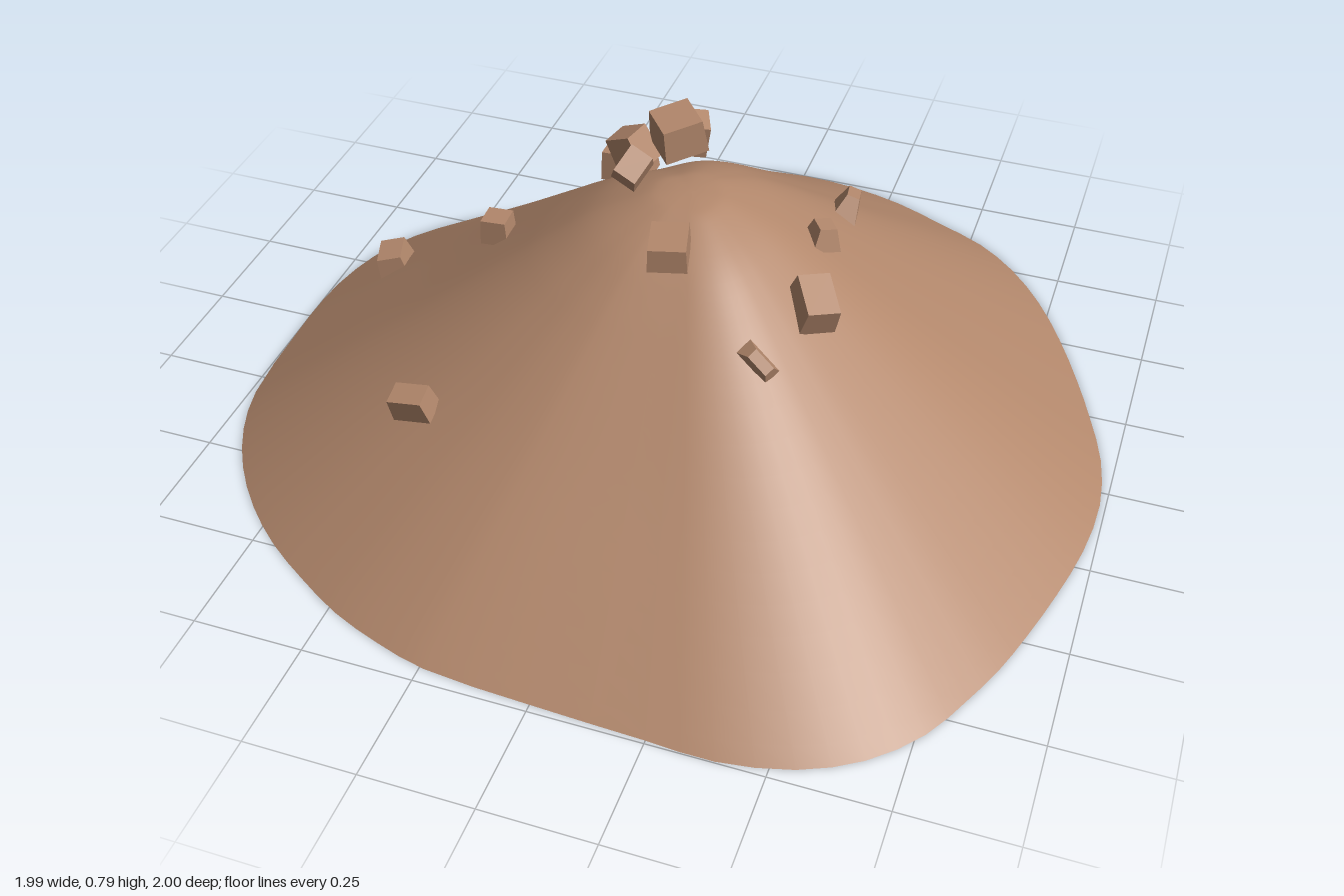
import * as THREE from 'three';

const clay = new THREE.MeshStandardMaterial({ color: 0xb3886c });
clay.name = 'brown earth';

// Footprint of the mound as x, z pairs, running from the back round by +x
const FOOTPRINT = [
  0, -1, 0.14, -0.99, 0.28, -0.955, 0.405, -0.9, 0.53, -0.84, 0.63, -0.757, 0.72, -0.645,
  0.795, -0.517, 0.864, -0.373, 0.917, -0.245, 0.965, -0.107, 0.987, 0.04, 0.976, 0.197,
  0.944, 0.347, 0.907, 0.48, 0.87, 0.592, 0.827, 0.688, 0.768, 0.8, 0.672, 0.9, 0.55, 0.965,
  0.395, 0.997, 0.25, 0.992, 0, 0.982, -0.24, 0.965, -0.357, 0.933, -0.48, 0.885,
  -0.592, 0.82, -0.7, 0.747, -0.8, 0.656, -0.885, 0.55, -0.95, 0.43, -0.987, 0.304,
  -1, 0.08, -1, -0.08, -0.98, -0.213, -0.933, -0.34, -0.853, -0.448, -0.747, -0.54,
  -0.64, -0.608, -0.533, -0.683, -0.437, -0.768, -0.352, -0.848, -0.245, -0.928, -0.123, -0.98,
];
// Slope from the summit to the rim: fraction of the way out, height
const PROFILE = [
  [0, 0.645], [0.05, 0.642], [0.1, 0.63], [0.2, 0.583], [0.3, 0.515], [0.4, 0.44],
  [0.6, 0.29], [0.8, 0.145], [1, 0],
];
const SUMMIT = { x: 0.02, z: 0.05 };

function footprintPoints() {
  const points = [];
  for (let i = 0; i < FOOTPRINT.length; i += 2) points.push(new THREE.Vector3(FOOTPRINT[i], 0, FOOTPRINT[i + 1]));
  return new THREE.CatmullRomCurve3(points, true).getPoints(88).slice(0, -1);
}

// Smooth slope: scaled copies of the footprint stacked along the profile
function moundGeometry(rim) {
  const rings = new THREE.SplineCurve(PROFILE.map(([t, y]) => new THREE.Vector2(t, y))).getPoints(32).slice(1);
  const n = rim.length;
  const positions = [SUMMIT.x, PROFILE[0][1], SUMMIT.z];
  const index = [];
  rings.forEach((ring, r) => {
    rim.forEach((p, i) => {
      positions.push(
        THREE.MathUtils.lerp(SUMMIT.x, p.x, ring.x), ring.y, THREE.MathUtils.lerp(SUMMIT.z, p.z, ring.x));
      const j = (i + 1) % n;
      const outer = 1 + r * n;
      const inner = outer - n;
      if (r === 0) index.push(0, outer + j, outer + i);
      else index.push(inner + i, inner + j, outer + i, inner + j, outer + j, outer + i);
    });
  });
  const geometry = new THREE.BufferGeometry();
  geometry.setAttribute('position', new THREE.Float32BufferAttribute(positions, 3));
  geometry.setIndex(index);
  geometry.computeVertexNormals();
  return geometry;
}

// Angular chunk: a box whose top narrows by the given taper
function rock([x, y, z], [w, h, d], [rx, ry, rz], taper = 0.9) {
  const geometry = new THREE.BoxGeometry(w, h, d);
  const p = geometry.attributes.position;
  for (let i = 0; i < p.count; i++) {
    if (p.getY(i) > 0) p.setXYZ(i, p.getX(i) * taper, p.getY(i), p.getZ(i) * taper);
  }
  geometry.computeVertexNormals();
  const mesh = new THREE.Mesh(geometry, clay);
  mesh.position.set(x, y, z);
  mesh.rotation.set(rx, ry, rz);
  return mesh;
}

// Position, size, rotation, taper
const SUMMIT_ROCKS = [
  [[-0.03, 0.745, -0.02], [0.1, 0.08, 0.1], [0.1, 0.7, 0.08]],
  [[-0.01, 0.73, -0.045], [0.08, 0.08, 0.07], [0.2, 0.4, -0.25]],
  [[-0.13, 0.685, -0.01], [0.08, 0.08, 0.07], [0.1, -0.3, 0.5]],
  [[-0.09, 0.713, 0.1], [0.06, 0.07, 0.075], [0.65, -0.35, -0.3]],
];
const SLOPE_ROCKS = [
  [[-0.18, 0.575, -0.12], [0.11, 0.07, 0.09], [0, 0, 0.05]],
  [[0.04, 0.63, 0.24], [0.085, 0.055, 0.105], [0.05, 0.25, 0], 0.95],
  [[0.345, 0.515, 0.18], [0.08, 0.07, 0.11], [0.45, 0.5, -0.35]],
  [[0.28, 0.48, 0.365], [0.09, 0.03, 0.04], [0.6, -0.55, -0.5], 0.6],
  [[0.3, 0.53, -0.045], [0.065, 0.05, 0.075], [0, 0.6, -0.15], 0.6],
  [[0.295, 0.44, -0.3], [0.06, 0.06, 0.11], [-0.2, 0.15, -0.3], 0.5],
  [[-0.45, 0.425, 0.03], [0.065, 0.06, 0.065], [0, 0.05, 0.03]],
  [[-0.45, 0.29, 0.515], [0.09, 0.06, 0.06], [0.25, 0.02, 0.18]],
  [[-0.79, 0.155, -0.09], [0.08, 0.09, 0.1], [0.1, 0.3, 0.2], 0.75],
];

export function createModel() {
  const model = new THREE.Group();
  model.name = 'rockyMound';
  const rim = footprintPoints();

  const mound = new THREE.Mesh(moundGeometry(rim), clay);
  mound.name = 'mound';
  model.add(mound);

  // Flat underside
  const outline = new THREE.Shape(rim.map((p) => new THREE.Vector2(p.x, p.z)));
  const base = new THREE.Mesh(new THREE.ShapeGeometry(outline).rotateX(Math.PI / 2), clay);
  base.name = 'underside';
  model.add(base);

  // Loose chunks piled on the summit and scattered over the slopes
  for (const [name, list] of [['summitRocks', SUMMIT_ROCKS], ['slopeRocks', SLOPE_ROCKS]]) {
    const group = new THREE.Group();
    group.name = name;
    list.forEach((spec, i) => {
      const mesh = rock(...spec);
      mesh.name = `rock${i + 1}`;
      group.add(mesh);
    });
    model.add(group);
  }
  return model;
}
